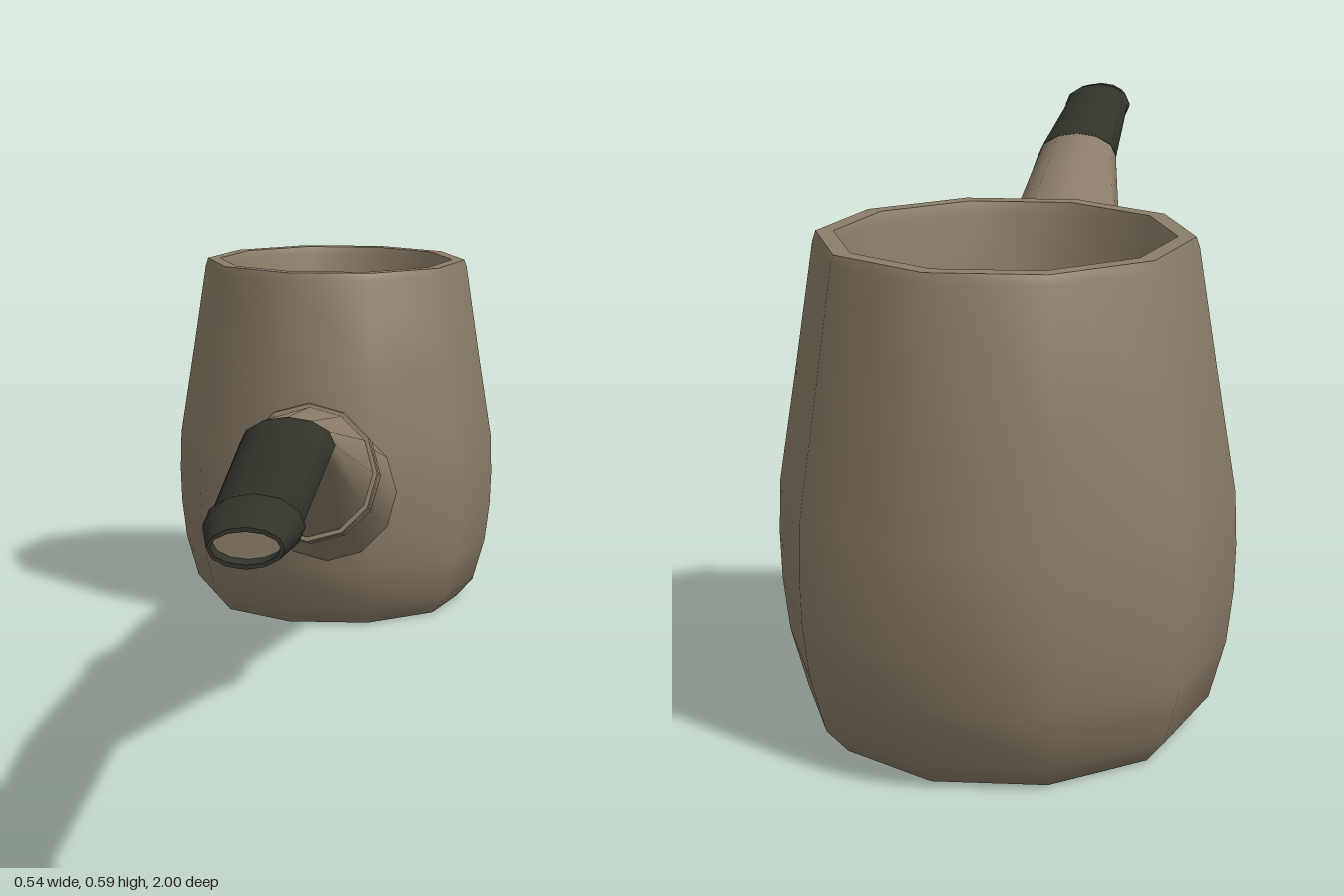
import * as THREE from 'three';
import { toCreasedNormals } from 'three/addons/utils/BufferGeometryUtils.js';

const SIDES = 12;
const CREASE = 0.95;

// Skin over elliptical rings along +z; each ring is [z, y, halfWidth, halfHeight, tilt]
function loft(rings) {
  const pos = [], index = [];
  for (const [z, y, rx, ry, tilt = 0] of rings) {
    for (let j = 0; j < SIDES; j++) {
      const a = (j / SIDES) * Math.PI * 2;
      const u = ry * Math.sin(a);
      pos.push(rx * Math.cos(a), y + u * Math.cos(tilt), z - u * Math.sin(tilt));
    }
  }
  for (let i = 0; i < rings.length - 1; i++) {
    for (let j = 0; j < SIDES; j++) {
      const k = (j + 1) % SIDES;
      const a = i * SIDES + j, b = i * SIDES + k;
      index.push(a, b, b + SIDES, a, b + SIDES, a + SIDES);
    }
  }
  const geo = new THREE.BufferGeometry();
  geo.setAttribute('position', new THREE.Float32BufferAttribute(pos, 3));
  geo.setIndex(index);
  return toCreasedNormals(geo, CREASE);
}

export function createModel() {
  const group = new THREE.Group();
  const wood = new THREE.MeshStandardMaterial({ color: 0x8b7d69 });
  wood.name = 'wood';
  const ebonite = new THREE.MeshStandardMaterial({ color: 0x32342b });
  ebonite.name = 'black ebonite';

  const add = (name, geo, mat) => {
    const mesh = new THREE.Mesh(geo, mat);
    mesh.name = name;
    group.add(mesh);
    return mesh;
  };

  // Ten-sided hollow bowl: outside wall, rim, then the chamber down to its floor
  const profile = [
    [0, 0], [0.213, 0], [0.24, 0.03], [0.26, 0.1], [0.268, 0.165], [0.27, 0.22],
    [0.268, 0.285], [0.245, 0.43], [0.223, 0.575], [0.219, 0.587],
    [0.198, 0.587], [0.194, 0.575], [0.188, 0.35], [0.178, 0.17], [0.158, 0.11], [0, 0.11],
  ].map(([x, y]) => new THREE.Vector2(x, y));
  const bowlGeo = new THREE.LatheGeometry(profile, 10);
  bowlGeo.rotateY(Math.PI / 2);
  add('bowl', toCreasedNormals(bowlGeo, CREASE), wood).position.z = -0.743;

  // Shank rising out of the bowl
  const t = 0.25;
  add('shank', loft([
    [-0.56, 0.217, 0.116, 0.116, t],
    [-0.5, 0.232, 0.113, 0.113, t],
    [-0.11, 0.336, 0.092, 0.092, t],
  ]), wood);

  // Raised collar with a narrow lip at each end
  add('collar', loft([
    [-0.122, 0.333, 0.08, 0.08, t],
    [-0.122, 0.333, 0.098, 0.098, t],
    [-0.116, 0.3345, 0.102, 0.102, t],
    [-0.024, 0.3565, 0.102, 0.102, t],
    [-0.018, 0.358, 0.1, 0.1, t],
    [-0.018, 0.358, 0.08, 0.08, t],
  ]), wood);

  // Stem tapering and flattening towards the mouthpiece
  add('stem', loft([
    [-0.04, 0.352, 0.095, 0.095, t],
    [-0.012, 0.36, 0.094, 0.094, t],
    [0.395, 0.475, 0.061, 0.036, 0.1],
  ]), wood);

  // Flattened mouthpiece with a bite lip and an open end
  add('mouthpiece', loft([
    [0.393, 0.475, 0, 0, 0.1],
    [0.393, 0.475, 0.062, 0.036, 0.1],
    [0.885, 0.477, 0.053, 0.033],
    [0.89, 0.477, 0.057, 0.036],
    [0.91, 0.477, 0.055, 0.034],
    [1, 0.476, 0.042, 0.023],
    [1, 0.476, 0.038, 0.018],
    [0.97, 0.476, 0.038, 0.018],
  ]), ebonite);

  // Recessed face inside the mouthpiece end
  add('airwayFace', loft([
    [0.972, 0.476, 0.038, 0.018],
    [0.972, 0.476, 0, 0],
  ]), wood);

  return group;
}
